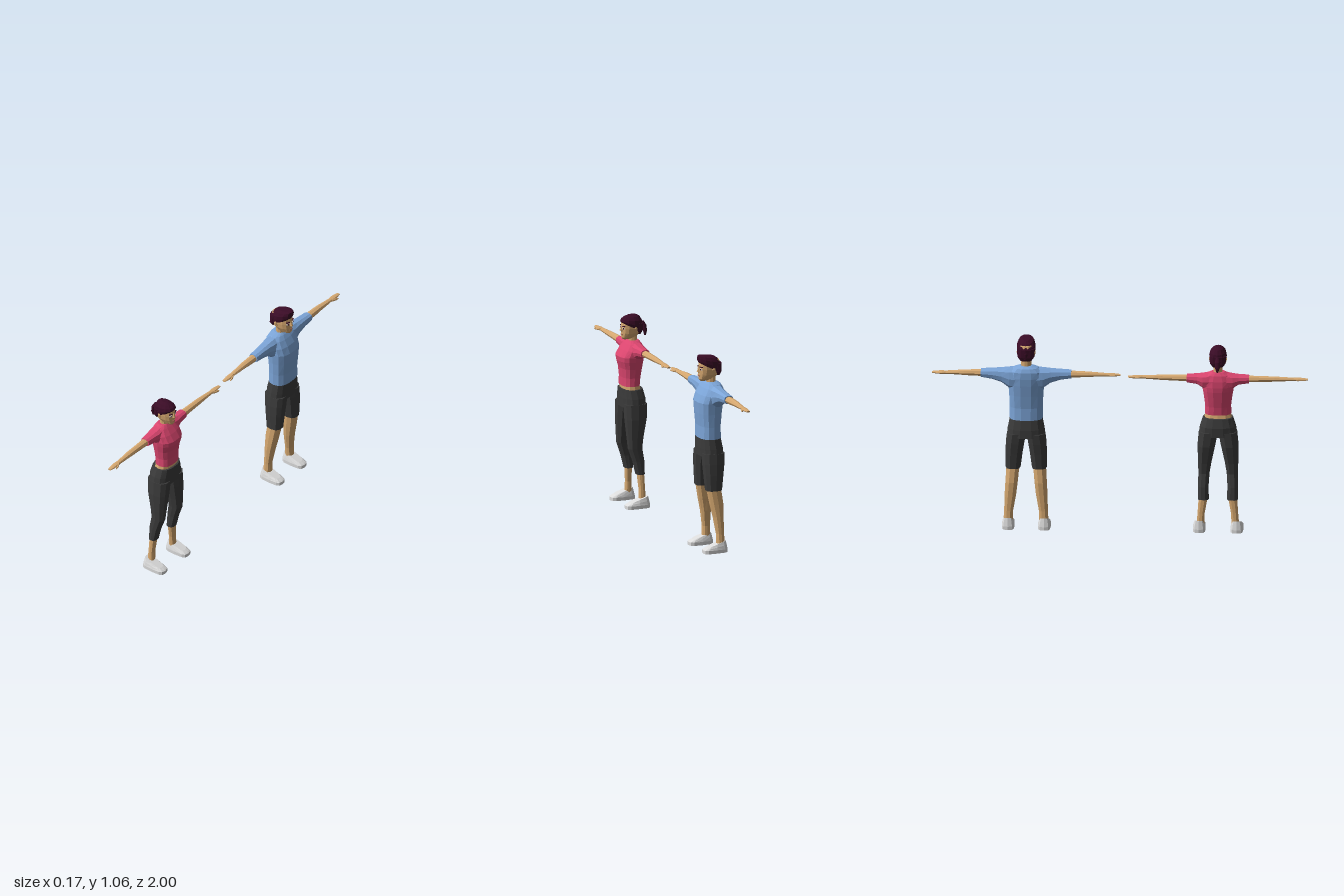
import * as THREE from 'three';

const paint = (name, color, flatShading = true) => {
  const m = new THREE.MeshStandardMaterial({ color, flatShading });
  m.name = name;
  return m;
};

// Closed skin through boxy oval rings [position, x0, x1, b0, b1, tilt] stacked along y (b = z) or z (b = y).
// side = -1 mirrors the part in z; tilt raises a y-ring towards +x.
function loft(axis, rings, side = 1, n = 12, power = 0.8) {
  const pos = [], idx = [];
  const bulge = v => Math.sign(v) * Math.abs(v) ** power;
  const put = (r, c, s) => {
    const [t, x0, x1, b0, b1, tilt = 0] = r;
    const x = (x0 + x1) / 2 + c * (x1 - x0) / 2, b = (b0 + b1) / 2 + s * (b1 - b0) / 2;
    if (axis === 'y') pos.push(x, t + tilt * x, b * side);
    else pos.push(x, b, t * side);
  };
  const tri = (a, b, c) => (side > 0 ? idx.push(a, b, c) : idx.push(a, c, b));
  for (const r of rings) {
    for (let j = 0; j < n; j++) {
      const a = j / n * Math.PI * 2, c = bulge(Math.cos(a)), s = bulge(Math.sin(a));
      if (axis === 'y') put(r, s, c); else put(r, c, s);
    }
  }
  const last = rings.length - 1, mid = rings.length * n;
  put(rings[0], 0, 0);
  put(rings[last], 0, 0);
  for (let j = 0; j < n; j++) {
    const k = (j + 1) % n;
    for (let i = 0; i < last; i++) {
      const p = i * n, q = p + n;
      tri(p + j, p + k, q + k);
      tri(p + j, q + k, q + j);
    }
    tri(mid, k, j);
    tri(mid + 1, last * n + j, last * n + k);
  }
  const g = new THREE.BufferGeometry();
  g.setAttribute('position', new THREE.Float32BufferAttribute(pos, 3));
  g.setIndex(idx);
  g.computeVertexNormals();
  return g;
}

// Expands [y, x0, x1, halfWidth, tilt] to a ring centred on z = 0
const sym = rows => rows.map(([y, x0, x1, h, t]) => [y, x0, x1, -h, h, t]);

export function createModel() {
  const skin = paint('skin', 0xd6a870), hair = paint('hair', 0x3a0c26);
  const pink = paint('pink cloth', 0xdb466f), blue = paint('blue cloth', 0x7ca5d8);
  const dark = paint('charcoal cloth', 0x3b3b3b), shoe = paint('light grey shoe', 0xdcdcdc);
  const white = paint('eye white', 0xeeeae4), lip = paint('lip', 0xb0705a);

  const add = (group, name, geometry, material) => {
    const m = new THREE.Mesh(geometry, material);
    m.name = name;
    group.add(m);
    return m;
  };

  function person(name, z, p) {
    const g = new THREE.Group();
    g.name = name;
    g.position.z = z;
    const body = (part, rows, mat, n, pow) => add(g, part, loft('y', sym(rows), 1, n, pow), mat);

    // Torso and hips
    body('shirt', p.shirt, p.cloth, 14);
    if (p.waist) body('waist', p.waist, skin);
    body('hips', p.hips, dark, 14);
    body('neck', p.neck, skin, 10, 1);

    // Limbs, mirrored
    for (const s of [1, -1]) {
      const limb = (part, axis, rings, mat, n, pow) =>
        add(g, (s > 0 ? 'left ' : 'right ') + part, loft(axis, rings, s, n, pow), mat);
      limb('sleeve', 'z', p.sleeve, p.cloth, 10);
      limb('arm', 'z', p.arm, skin, 8, 1);
      const h = p.wrist, y = p.armY;
      limb('hand', 'z', [[h, -0.014, 0.01, y - 0.009, y + 0.008], [h + 0.025, -0.018, 0.014, y - 0.009, y + 0.007],
        [h + 0.045, -0.017, 0.013, y - 0.008, y + 0.006], [h + 0.078, -0.011, 0.008, y - 0.005, y + 0.003]], skin, 8);
      limb('thumb', 'z', [[h + 0.008, 0.002, 0.012, y - 0.007, y + 0.005], [h + 0.03, 0.012, 0.022, y - 0.008, y + 0.003],
        [h + 0.048, 0.017, 0.023, y - 0.007, y]], skin, 6);
      limb('trouser leg', 'y', p.trouser, dark, 10);
      limb('shin', 'y', p.shin, skin, 10);
      const [a, b] = p.foot;
      limb('shoe', 'y', [[0, -0.055, 0.083, a, b], [0.018, -0.055, 0.083, a, b],
        [0.034, -0.05, 0.076, a + 0.004, b - 0.004, -0.15],
        [0.05, -0.045, 0.06, a + 0.01, b - 0.01, -0.32]], shoe, 12, 0.55);
    }

    // Head and face, drawn from the chin up
    const head = new THREE.Group();
    head.name = 'head';
    head.position.y = p.chin;
    head.scale.set(p.headScale, p.headScale, p.headScale);
    g.add(head);
    add(head, 'face', loft('y', sym([[0, 0.012, 0.054, 0.013], [0.01, -0.02, 0.061, 0.025], [0.033, -0.045, 0.061, 0.037],
      [0.06, -0.05, 0.061, 0.041], [0.085, -0.052, 0.06, 0.041], [0.105, -0.045, 0.052, 0.036]]), 1, 14, 0.85), skin);
    add(head, 'nose', loft('y', sym([[0.043, 0.05, 0.064, 0.007], [0.048, 0.05, 0.072, 0.008],
      [0.073, 0.05, 0.063, 0.004]]), 1, 6), skin);
    const plate = (part, x, y, zz, w, h, turn, mat) => {
      const m = add(head, part, new THREE.BoxGeometry(0.006, h, w), mat);
      m.position.set(x, y, zz);
      m.rotation.y = turn;
    };
    plate('mouth', 0.0595, 0.026, 0, 0.022, 0.005, 0, lip);
    for (const s of [1, -1]) {
      plate('eye', 0.0565, 0.062, s * 0.019, 0.014, 0.007, -s * 0.35, white);
      plate('pupil', 0.0572, 0.062, s * 0.019, 0.006, 0.007, -s * 0.35, hair);
      plate('eyebrow', 0.0565, 0.073, s * 0.019, 0.019, 0.004, -s * 0.35, hair);
      add(head, 'ear', loft('y', [[0.038, -0.008, 0.004, 0.036, 0.042], [0.06, -0.012, 0.006, 0.036, 0.048],
        [0.07, -0.008, 0.004, 0.036, 0.046]], s, 6), skin);
    }
    p.hair.forEach(([part, rows]) => body(part, rows, hair, 12, 0.9));
    return g;
  }

  const woman = person('woman', 0.521, {
    cloth: pink, chin: 0.905, headScale: 1, armY: 0.857, wrist: 0.4, foot: [0.066, 0.134],
    shirt: [[0.655, -0.031, 0.066, 0.071], [0.7, -0.036, 0.065, 0.069], [0.75, -0.045, 0.07, 0.075],
      [0.79, -0.052, 0.081, 0.082], [0.815, -0.054, 0.083, 0.085], [0.85, -0.052, 0.06, 0.085],
      [0.88, -0.045, 0.036, 0.068], [0.896, -0.034, 0.022, 0.036]],
    waist: [[0.63, -0.035, 0.06, 0.074], [0.665, -0.028, 0.06, 0.067]],
    hips: [[0.538, -0.056, 0.068, 0.103], [0.59, -0.059, 0.07, 0.096], [0.637, -0.048, 0.07, 0.08]],
    neck: [[0.87, -0.03, 0.02, 0.027], [0.9, -0.026, 0.02, 0.023], [0.935, -0.026, 0.022, 0.023]],
    sleeve: [[0.04, -0.046, 0.034, 0.8, 0.892], [0.08, -0.045, 0.032, 0.806, 0.884],
      [0.11, -0.037, 0.027, 0.826, 0.88], [0.165, -0.03, 0.022, 0.833, 0.877]],
    arm: [[0.15, -0.026, 0.018, 0.836, 0.874], [0.25, -0.023, 0.015, 0.84, 0.872],
      [0.3, -0.022, 0.014, 0.842, 0.871], [0.405, -0.014, 0.01, 0.848, 0.865]],
    trouser: [[0.178, -0.035, 0.012, 0.048, 0.107], [0.25, -0.033, 0.03, 0.05, 0.106], [0.32, -0.022, 0.055, 0.045, 0.105],
      [0.38, -0.03, 0.06, 0.035, 0.107], [0.48, -0.052, 0.067, 0.014, 0.109], [0.56, -0.057, 0.069, 0, 0.102]],
    shin: [[0.04, -0.036, 0.002, 0.072, 0.113], [0.1, -0.033, 0, 0.07, 0.108], [0.19, -0.031, 0.007, 0.054, 0.102]],
    hair: [
      ['hair cap', [[0.965, -0.055, 0.062, 0.044, 0.5], [0.984, -0.06, 0.066, 0.047, 0.3], [1.008, -0.055, 0.061, 0.042, 0.1],
        [1.026, -0.04, 0.044, 0.029], [1.035, -0.02, 0.024, 0.012]]],
      ['back hair', [[0.93, -0.045, -0.018, 0.028], [0.95, -0.056, -0.006, 0.042], [0.99, -0.059, 0.018, 0.045]]],
      ['ponytail', [[0.913, -0.079, -0.071, 0.004], [0.938, -0.085, -0.064, 0.013], [0.97, -0.081, -0.058, 0.014],
        [0.992, -0.068, -0.05, 0.008]]]],
  });

  const man = person('man', -0.497, {
    cloth: blue, chin: 0.922, headScale: 1.06, armY: 0.866, wrist: 0.422, foot: [0.062, 0.13],
    shirt: [[0.613, -0.047, 0.071, 0.088], [0.68, -0.045, 0.07, 0.088], [0.75, -0.052, 0.077, 0.091],
      [0.81, -0.059, 0.081, 0.096], [0.85, -0.062, 0.066, 0.098], [0.885, -0.061, 0.045, 0.09],
      [0.905, -0.052, 0.03, 0.065], [0.914, -0.036, 0.02, 0.034]],
    hips: [[0.515, -0.057, 0.067, 0.103], [0.56, -0.056, 0.069, 0.098], [0.617, -0.045, 0.069, 0.087]],
    neck: [[0.885, -0.034, 0.022, 0.032], [0.915, -0.03, 0.022, 0.028], [0.955, -0.03, 0.022, 0.028]],
    sleeve: [[0.05, -0.054, 0.036, 0.785, 0.905], [0.09, -0.05, 0.034, 0.79, 0.902],
      [0.13, -0.042, 0.029, 0.82, 0.897], [0.18, -0.035, 0.026, 0.836, 0.893], [0.24, -0.03, 0.024, 0.845, 0.889]],
    arm: [[0.22, -0.026, 0.02, 0.847, 0.886], [0.29, -0.024, 0.017, 0.849, 0.884],
      [0.33, -0.023, 0.015, 0.852, 0.882], [0.428, -0.015, 0.011, 0.857, 0.874]],
    trouser: [[0.335, -0.034, 0.055, 0.03, 0.109], [0.42, -0.044, 0.062, 0.019, 0.11],
      [0.48, -0.052, 0.066, 0.009, 0.108], [0.535, -0.056, 0.067, 0, 0.102]],
    shin: [[0.04, -0.041, 0.005, 0.07, 0.12], [0.1, -0.037, 0.004, 0.068, 0.116], [0.19, -0.038, 0.018, 0.052, 0.114],
      [0.26, -0.039, 0.034, 0.044, 0.11], [0.345, -0.028, 0.05, 0.036, 0.105]],
    hair: [
      ['hair cap', [[0.988, -0.058, 0.064, 0.047, 0.5], [1.01, -0.062, 0.07, 0.05, 0.3], [1.03, -0.056, 0.071, 0.048, 0.25],
        [1.047, -0.04, 0.07, 0.038, 0.18], [1.055, -0.02, 0.058, 0.02, 0.12]]],
      ['back hair', [[0.95, -0.052, -0.022, 0.03], [0.97, -0.059, -0.01, 0.045], [1.015, -0.061, 0.018, 0.048]]]],
  });

  const model = new THREE.Group();
  model.name = 'two standing people';
  model.add(woman, man);
  return model;
}
